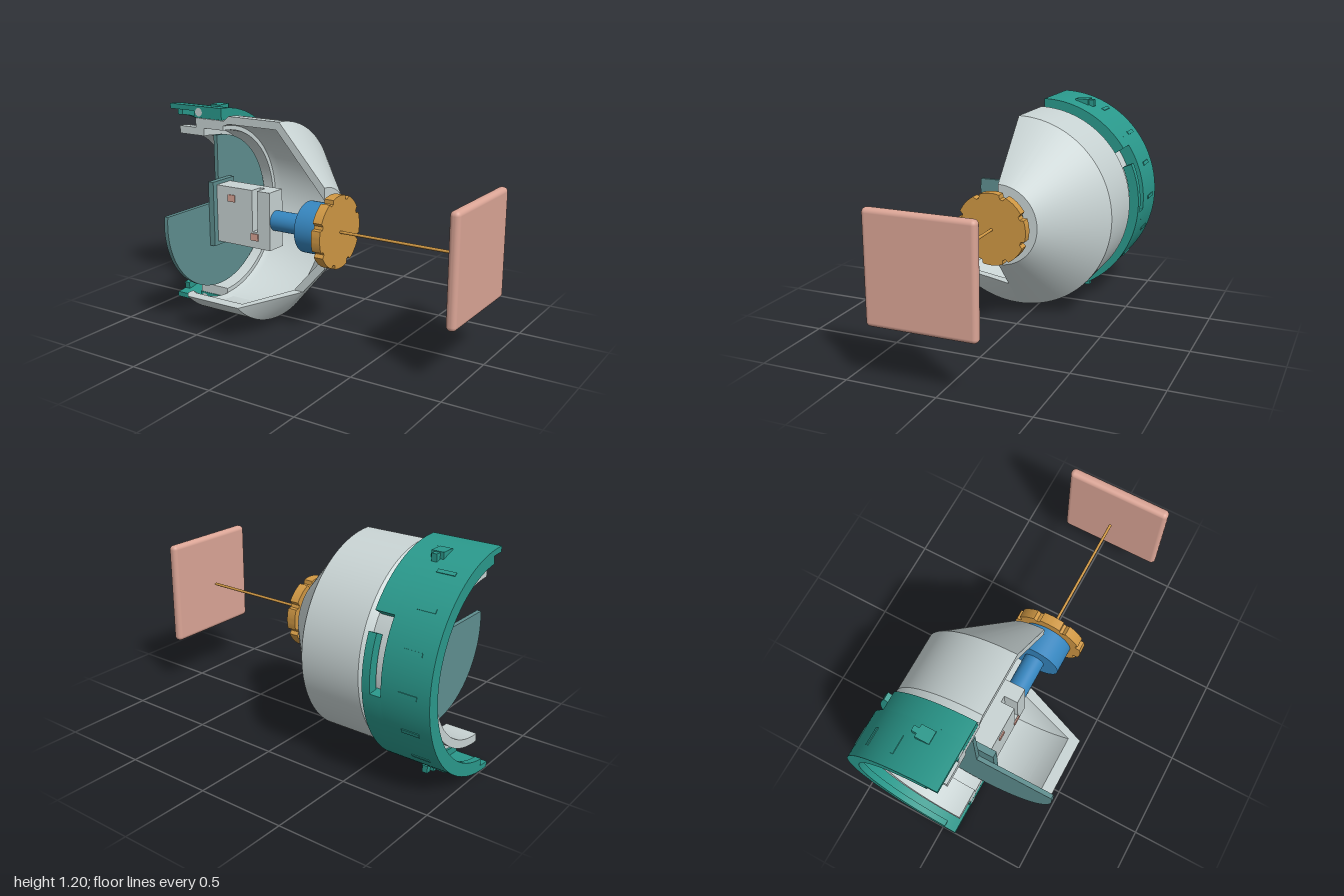
import * as THREE from 'three';
import { toCreasedNormals } from 'three/addons/utils/BufferGeometryUtils.js';
import { RoundedBoxGeometry } from 'three/addons/geometries/RoundedBoxGeometry.js';

const CY = 0.6, CZ = 0.08; // main axis runs along x
const rad = THREE.MathUtils.degToRad;

function material(name, color) {
  const m = new THREE.MeshStandardMaterial({ color });
  m.name = name;
  return m;
}

// Sweeps a counter-clockwise (x, radius) profile round the axis, from the top over the back.
// The end angle may depend on the radius, which gives a flat cut.
function sweep(profile, start, end, steps = 64) {
  const endAt = typeof end === 'function' ? end : () => end;
  const point = ([x, r], j) => {
    const a = start + (endAt(r) - start) * j / steps;
    return [x, CY + r * Math.cos(a), CZ - r * Math.sin(a)];
  };
  const pos = [];
  const tri = (...pts) => pts.forEach((p) => pos.push(...p));
  profile.forEach((p, i) => {
    const q = profile[(i + 1) % profile.length];
    for (let j = 0; j < steps; j++) {
      const a = point(p, j), b = point(p, j + 1), c = point(q, j + 1), d = point(q, j);
      tri(a, b, c);
      tri(a, c, d);
    }
  });
  const contour = profile.map(([x, r]) => new THREE.Vector2(x, r));
  for (const [a, b, c] of THREE.ShapeUtils.triangulateShape(contour, [])) {
    tri(point(profile[a], 0), point(profile[b], 0), point(profile[c], 0));
    tri(point(profile[c], steps), point(profile[b], steps), point(profile[a], steps));
  }
  const g = new THREE.BufferGeometry();
  g.setAttribute('position', new THREE.Float32BufferAttribute(pos, 3));
  return toCreasedNormals(g, 0.4);
}

const rect = (x0, x1, r0, r1) => [[x0, r0], [x1, r0], [x1, r1], [x0, r1]];

export function createModel() {
  const group = new THREE.Group();
  const grey = material('paleGrey', 0xc9d4d4);
  const teal = material('teal', 0x2a998c);
  const slate = material('slateTeal', 0x5f8f90);
  const blue = material('blue', 0x3686bf);
  const gold = material('gold', 0xd09844);
  const pink = material('dustyPink', 0xdba596);

  const add = (name, geometry, mat) => {
    const mesh = new THREE.Mesh(geometry, mat);
    mesh.name = name;
    group.add(mesh);
    return mesh;
  };
  const box = (name, mat, x0, x1, y0, y1, z0, z1) => {
    const mesh = add(name, new THREE.BoxGeometry(x1 - x0, y1 - y0, z1 - z0), mat);
    mesh.position.set((x0 + x1) / 2, (y0 + y1) / 2, (z0 + z1) / 2);
    return mesh;
  };
  const rod = (name, mat, x0, x1, r, sides = 48) => {
    const mesh = add(name, new THREE.CylinderGeometry(r, r, x1 - x0, sides), mat);
    mesh.rotation.z = -Math.PI / 2;
    mesh.position.set((x0 + x1) / 2, CY, CZ - 0.003);
    return mesh;
  };
  // Extrudes a (-z, y) shape along x
  const slab = (name, mat, shape, x, depth) => {
    const g = new THREE.ExtrudeGeometry(shape, { depth, bevelEnabled: false, curveSegments: 64 });
    g.rotateY(Math.PI / 2);
    const mesh = add(name, toCreasedNormals(g, 0.4), mat);
    mesh.position.set(x, CY, CZ);
    return mesh;
  };

  // Housing: half shell, with a wedge of the front left standing at the bottom
  add('housingHalf', sweep([
    [-0.93, 0.43], [-0.75, 0.43], [-0.75, 0.475], [-0.61, 0.475], [-0.61, 0.5], [-0.57, 0.515],
    [-0.24, 0.515], [0.075, 0.16], [0.075, 0.23], [-0.22, 0.56], [-0.57, 0.56], [-0.605, 0.53],
    [-0.81, 0.53], [-0.81, 0.475], [-0.93, 0.475],
  ], 0, Math.PI), grey);
  add('housingFrontWedge', sweep([
    [-0.605, 0.5], [-0.57, 0.515], [-0.24, 0.515], [-0.129, 0.39],
    [-0.068, 0.39], [-0.22, 0.56], [-0.57, 0.56], [-0.605, 0.53],
  ], Math.PI, (r) => Math.PI + Math.acos(Math.min(1, 0.39 / r)), 24), grey);
  box('innerCatch', grey, -0.9, -0.83, 0.56, 0.64, -0.355, -0.33);

  // Locking collar, with a window at the upper back
  add('collar', sweep([
    [-1, 0.57], [-0.82, 0.57], [-0.82, 0.532], [-0.73, 0.532], [-0.73, 0.6], [-1, 0.6],
  ], 0, Math.PI), teal);
  add('collarLip', sweep(rect(-1, -0.965, 0.53, 0.571), 0.12, Math.PI - 0.12), teal);
  add('collarRimUpper', sweep(rect(-0.73, -0.62, 0.532, 0.6), 0, rad(56), 24), teal);
  add('collarRimLower', sweep(rect(-0.73, -0.62, 0.532, 0.6), rad(95), Math.PI, 32), teal);
  add('collarWindowBar', sweep(rect(-0.665, -0.62, 0.545, 0.6), rad(66), rad(95), 16), teal);

  // Grip marks round the collar
  for (let deg = 30; deg <= 150; deg += 20) {
    const a = rad(deg);
    add('gripMark', sweep(rect(-0.93, -0.83, 0.59, 0.604), a - 0.018, a + 0.018, 2), teal);
  }
  // Arrow tabs and pin holes at the top and bottom ends of the collar
  for (const s of [1, -1]) {
    const y = CY + s * 0.57;
    box('arrowTab', teal, -0.82, -0.75, y - 0.02, y + 0.02, -0.15, -0.07);
    box('arrowTip', teal, -0.8, -0.77, y - 0.025, y + 0.015, -0.18, -0.15);
    const pin = add('pinEnd', new THREE.CircleGeometry(0.025, 24), grey);
    pin.position.set(-0.785, CY + s * 0.565, CZ + 0.002);
  }

  // Disc with its upper front quarter cut away
  const disc = new THREE.Shape();
  disc.absarc(0, 0, 0.445, Math.PI / 2, Math.PI - Math.asin(0.06 / 0.445), true);
  disc.lineTo(0, 0.06);
  disc.closePath();
  slab('disc', slate, disc, -0.68, 0.025);
  box('mountPlate', slate, -0.656, -0.62, 0.41, 0.79, -0.02, 0.17);

  // Slotted block and its small contacts
  box('blockLeft', grey, -0.62, -0.37, 0.435, 0.77, 0.015, 0.138);
  box('blockBridge', grey, -0.37, -0.335, 0.435, 0.53, 0.015, 0.138);
  box('blockRight', grey, -0.335, -0.25, 0.435, 0.77, 0.015, 0.138);
  box('blockBack', grey, -0.37, -0.335, 0.53, 0.77, 0.015, 0.06);
  box('contactUpper', pink, -0.54, -0.49, 0.685, 0.725, 0.1, 0.145);
  box('contactLower', pink, -0.38, -0.33, 0.48, 0.52, 0.1, 0.145);

  // Shaft, hub and long rod
  rod('shaft', blue, -0.25, -0.02, 0.058);
  rod('hub', blue, -0.03, 0.125, 0.144);
  rod('longRod', gold, 0.16, 0.915, 0.008, 16);

  // Notched knob
  const knob = new THREE.Shape();
  for (let i = 0; i < 128; i++) {
    const a = i / 128 * Math.PI * 2;
    const r = (i + 8) % 16 < 3 ? 0.182 : 0.203;
    knob[i ? 'lineTo' : 'moveTo'](r * Math.cos(a), r * Math.sin(a));
  }
  knob.closePath();
  slab('knob', gold, knob, 0.12, 0.055);

  // Square end plate
  const plate = add('endPlate', new RoundedBoxGeometry(0.056, 0.598, 0.598, 4, 0.025), pink);
  plate.position.set(0.972, 0.602, 0.079);

  return group;
}
